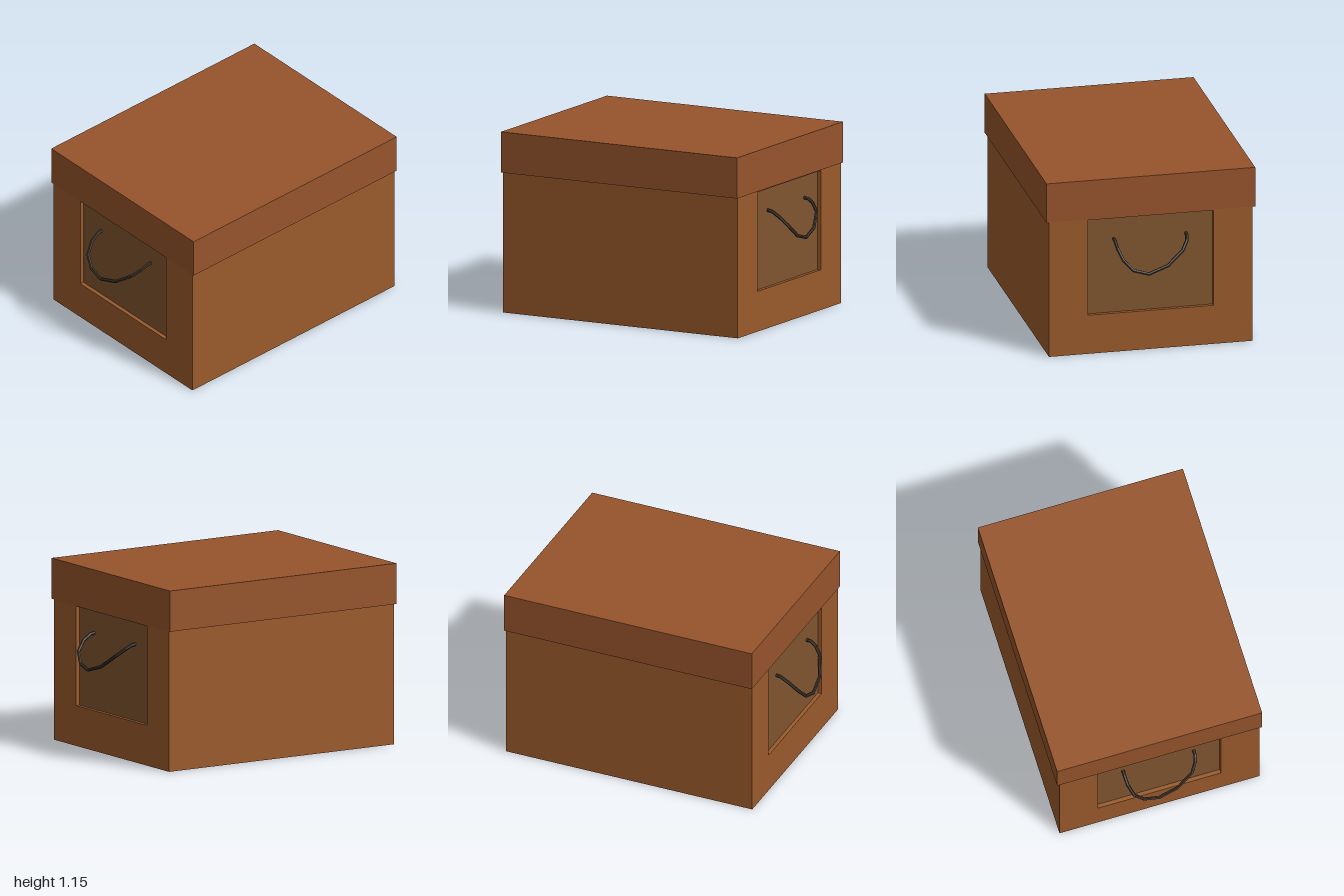
import * as THREE from 'three';

const WIDTH = 1.68, DEPTH = 1.3, PANEL_X = 0.815;

const material = (color, flatShading = false) => new THREE.MeshStandardMaterial({ color, flatShading });

function addMesh(parent, name, geometry, mat) {
  const mesh = new THREE.Mesh(geometry, mat);
  mesh.name = name;
  parent.add(mesh);
  return mesh;
}

// Closed rectangle outline in the end-face plane
function rectangle(PathType, halfWidth, bottom, top) {
  return new PathType([
    new THREE.Vector2(-halfWidth, bottom), new THREE.Vector2(halfWidth, bottom),
    new THREE.Vector2(halfWidth, top), new THREE.Vector2(-halfWidth, top),
  ]);
}

// Sagging rope, one tube ring on each knot so the bends stay angular
function ropeGeometry() {
  const knots = [
    [0.805, 0.74, 0.23], [0.845, 0.735, 0.23], [0.9, 0.7, 0.225], [0.955, 0.64, 0.2],
    [0.978, 0.577, 0.14], [0.985, 0.55, 0.045], [0.97, 0.59, -0.08], [0.93, 0.67, -0.185],
    [0.88, 0.715, -0.222], [0.845, 0.735, -0.23], [0.805, 0.74, -0.23],
  ].map((p) => new THREE.Vector3(...p));
  const curve = new THREE.CatmullRomCurve3(knots);
  curve.getPointAt = curve.getPoint;
  curve.getTangentAt = curve.getTangent;
  return new THREE.TubeGeometry(curve, knots.length - 1, 0.011, 6);
}

export function createModel() {
  const model = new THREE.Group();
  model.name = 'storageBox';

  const wood = material(0x9a5a2c);
  const lidWood = material(0x96542c);
  const panelWood = material(0x80552f);
  const ropeMat = material(0x3c332b, true);

  // Body: end outline with a window, run through the full width
  const outline = rectangle(THREE.Shape, DEPTH / 2, 0, 0.9);
  outline.holes.push(rectangle(THREE.Path, 0.4, 0.255, 0.884));
  const bodyGeometry = new THREE.ExtrudeGeometry(outline, { depth: WIDTH, bevelEnabled: false });
  bodyGeometry.translate(0, 0, -WIDTH / 2).rotateY(Math.PI / 2);
  addMesh(model, 'body', bodyGeometry, wood);

  // Block closing the window just behind each end face
  const panel = addMesh(model, 'recessedPanels', new THREE.BoxGeometry(PANEL_X * 2, 0.629, 0.8), panelWood);
  panel.position.y = 0.5695;

  // Overhanging lid
  const lid = addMesh(model, 'lid', new THREE.BoxGeometry(1.69, 0.258, 1.334), lidWood);
  lid.position.y = 1.019;

  // Rope handles, the second turned half way round
  const rope = ropeGeometry();
  addMesh(model, 'leftHandle', rope, ropeMat);
  addMesh(model, 'rightHandle', rope, ropeMat).rotation.y = Math.PI;

  return model;
}
